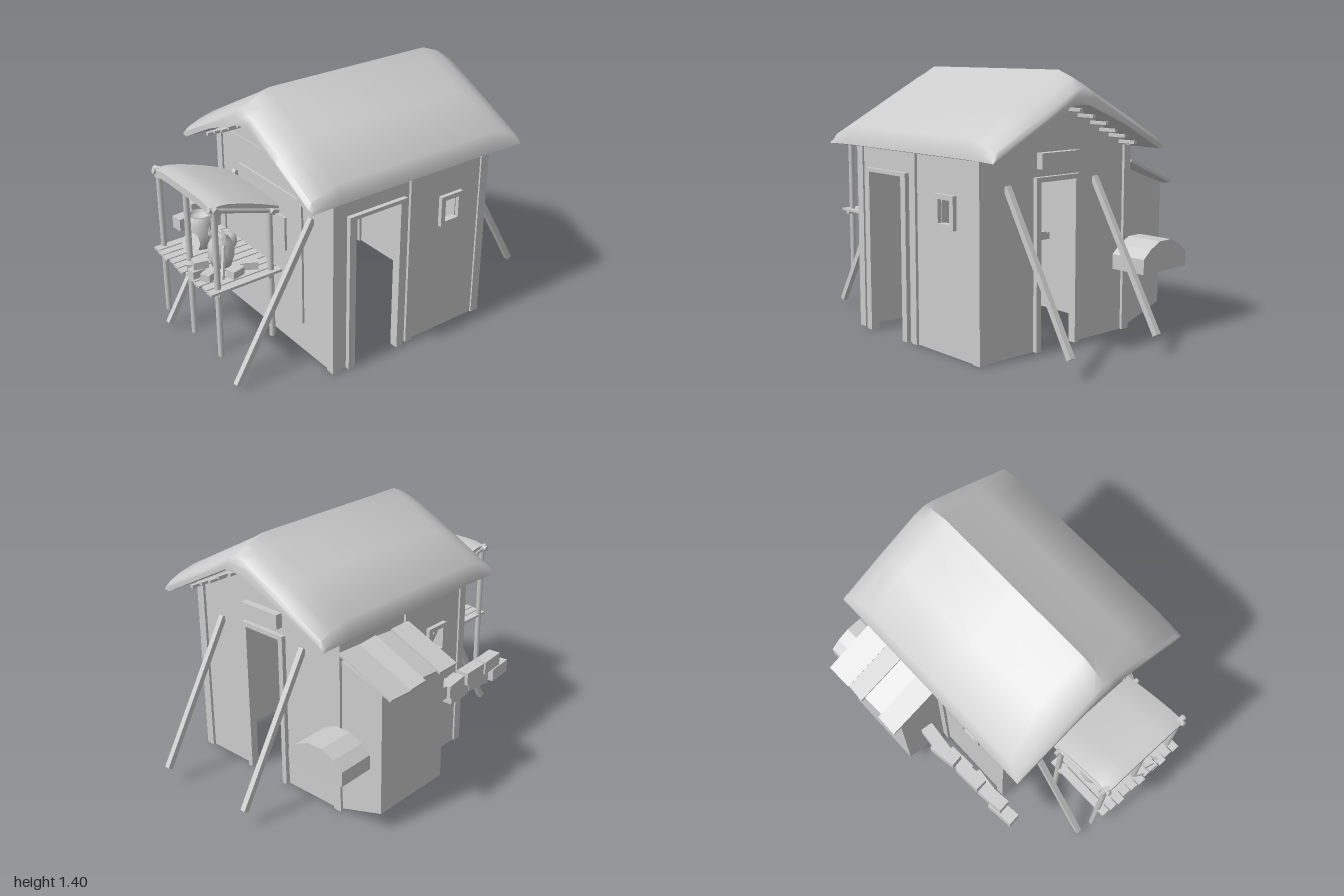
import * as THREE from 'three';
import { toCreasedNormals } from 'three/addons/utils/BufferGeometryUtils.js';

const CX = 0.135; // ridge line

export function createModel() {
  const root = new THREE.Group();
  const mat = new THREE.MeshStandardMaterial({ color: 0xcccccc, side: THREE.DoubleSide });
  const V = (x, y, z) => new THREE.Vector3(x, y, z);
  const add = (name, geo, parent = root) => {
    const m = new THREE.Mesh(geo, mat);
    m.name = name;
    parent.add(m);
    return m;
  };
  const group = (name) => {
    const g = new THREE.Group();
    g.name = name;
    root.add(g);
    return g;
  };
  // box given by its extents
  const box = (name, x0, x1, y0, y1, z0, z1, parent) => {
    const m = add(name, new THREE.BoxGeometry(x1 - x0, y1 - y0, z1 - z0), parent);
    m.position.set((x0 + x1) / 2, (y0 + y1) / 2, (z0 + z1) / 2);
    return m;
  };
  // square timber or round pole between two points
  const beam = (name, a, b, w, round, parent) => {
    const len = a.distanceTo(b);
    const m = add(name, round ? new THREE.CylinderGeometry(w, w, len, 8) : new THREE.BoxGeometry(w, len, w), parent);
    m.position.copy(a).add(b).multiplyScalar(0.5);
    m.quaternion.setFromUnitVectors(V(0, 1, 0), b.clone().sub(a).normalize());
    return m;
  };
  const lathe = (name, pts, x, y, z, parent) => {
    const geo = new THREE.LatheGeometry(pts.map((p) => new THREE.Vector2(...p)), 14);
    const m = add(name, geo, parent);
    m.position.set(x, y, z);
    return m;
  };
  const extrude = (pts, depth, holes = []) => {
    const poly = (a) => a.map((p) => new THREE.Vector2(...p));
    const s = new THREE.Shape(poly(pts));
    for (const [a0, a1, b0, b1] of holes) s.holes.push(new THREE.Path(poly([[a0, b0], [a0, b1], [a1, b1], [a1, b0]])));
    return new THREE.ExtrudeGeometry(s, { depth, bevelEnabled: false });
  };

  // Walls, open at the bottom
  const walls = group('walls');
  const gableTop = [[0.66, 1.0], [0.22, 1.235], [0.05, 1.235], [-0.39, 1.0]];
  add('frontWall', extrude([[-0.39, 0], [0.66, 0], ...gableTop], 0.02), walls).position.z = 0.42;
  add('backWall', extrude([[-0.39, 0], [0.03, 0], [0.03, 0.86], [0.27, 0.86], [0.27, 0], [0.66, 0], ...gableTop], 0.02), walls).position.z = -0.55;
  const sideWall = (name, pts, holes, x) =>
    add(name, extrude(pts, 0.02, holes).rotateY(-Math.PI / 2), walls).position.x = x;
  sideWall('rightDoorWall', [[-0.55, 0], [0.04, 0], [0.04, 0.86], [0.32, 0.86], [0.32, 0], [0.44, 0], [0.44, 1], [-0.55, 1]],
    [[-0.35, -0.27, 0.66, 0.78]], 0.65);
  sideWall('leftWindowWall', [[-0.55, 0], [0.44, 0], [0.44, 1], [-0.55, 1]], [[0.145, 0.245, 0.66, 0.78]], -0.36);

  // Corner, door and middle posts
  const posts = group('wallPosts');
  for (const x of [-0.39, 0.61])
    for (const z of [-0.565, 0.4]) box('cornerPost', x, x + 0.05, 0, 1.0, z, z + 0.05, posts);
  box('middlePost', 0.63, 0.665, 0, 1, -0.07, -0.03, posts);
  box('middlePost', -0.395, -0.36, 0, 1, -0.07, -0.03, posts);
  for (const z of [0, 0.32]) box('doorJamb', 0.625, 0.675, 0, 0.88, z, z + 0.04, posts);
  box('doorLintel', 0.625, 0.675, 0.86, 0.88, 0.04, 0.32, posts);
  for (const x of [0.0, 0.27]) box('backDoorJamb', x, x + 0.03, 0, 0.88, -0.575, -0.53, posts);
  box('backDoorLintel', 0.03, 0.27, 0.855, 0.88, -0.575, -0.53, posts);
  box('backDoorBoard', 0.02, 0.28, 0.92, 1.0, -0.59, -0.55, posts);
  box('gableBeam', -0.34, 0.61, 1.0, 1.035, 0.43, 0.446, posts);

  // Window frames on both sides
  for (const [x, z] of [[0.655, -0.31], [-0.385, 0.195]]) {
    const f = add('windowFrame', extrude([[-0.073, -0.085], [0.073, -0.085], [0.073, 0.085], [-0.073, 0.085]], 0.035,
      [[-0.045, 0.045, -0.06, 0.06]]).rotateY(-Math.PI / 2));
    f.position.set(x + 0.0175, 0.72, z);
  }

  // Thick thatched roof: one cross-section, thinned towards both gable ends
  const half = [[0.085, 1.235], [0.3, 1.122], [0.55, 0.99], [0.585, 0.998], [0.58, 1.03], [0.555, 1.093], [0.3, 1.232], [0.065, 1.36]];
  const section = [...half, [0, 1.4], ...half.slice().reverse().map(([x, y]) => [-x, y])];
  const underside = (x) => Math.min(1.235, Math.max(0.99, 1.28 - 0.527 * Math.abs(x)));
  const rings = [[0.62, 0.28], [0.6, 0.5], [0.53, 0.78], [0.45, 1], [-0.05, 1], [-0.55, 1], [-0.65, 0.78], [-0.72, 0.5], [-0.735, 0.28]];
  const pos = [], idx = [], n = section.length;
  for (const [z, k] of rings)
    for (const [x, y] of section) pos.push(CX + x, underside(x) + k * (y - underside(x)), z);
  for (let r = 0; r < rings.length - 1; r++)
    for (let i = 0; i < n; i++) {
      const a = r * n + i, b = r * n + ((i + 1) % n);
      idx.push(a, a + n, b, b, a + n, b + n);
    }
  const cap = THREE.ShapeUtils.triangulateShape(section.map(([x, y]) => new THREE.Vector2(x, y)), []);
  const last = (rings.length - 1) * n;
  for (const [a, b, c] of cap) idx.push(a, b, c, last + a, last + c, last + b);
  const roofGeo = new THREE.BufferGeometry();
  roofGeo.setAttribute('position', new THREE.Float32BufferAttribute(pos, 3));
  roofGeo.setIndex(idx);
  add('thatchedRoof', toCreasedNormals(roofGeo, 0.75));

  // Purlins poking out under both gables
  const purlins = group('purlins');
  for (const [dx, y] of [[0.05, 1.205], [0.143, 1.17], [0.235, 1.13], [0.303, 1.09], [0.375, 1.058], [0.452, 1.02]])
    for (const s of [-1, 1]) box('purlin', CX + s * dx - 0.01, CX + s * dx + 0.01, y - 0.008, y + 0.008, -0.66, 0.55, purlins);

  // Slanting braces in front and behind
  for (const x of [-0.213, 0.475]) beam('frontBrace', V(x, 0.82, 0.44), V(x, 0.03, 0.905), 0.03);
  for (const x of [-0.125, 0.475]) beam('backBrace', V(x, 0.85, -0.55), V(x, 0.1, -0.99), 0.03);

  // Lean-to on the left with ragged boards on top
  const annex = group('leanTo');
  add('leanToBody', extrude([[-0.65, 0.1], [-0.38, 0.01], [-0.38, 0.87], [-0.65, 0.775]], 0.48), annex).position.z = -0.55;
  [[-0.72, -0.495, 0.15, 0.03], [-0.715, -0.37, 0.13, -0.06], [-0.69, -0.25, 0.14, 0.05], [-0.71, -0.115, 0.13, -0.02]].forEach(([x, z, w, turn]) => {
    const len = -0.385 - x;
    const b = add('roofBoard', new THREE.BoxGeometry(len * 1.07, 0.016, w), annex);
    b.position.set(x + len / 2, 0.838, z);
    b.rotation.set(turn * 2, turn, 0.4);
  });

  // Arched chest hung on the back wall
  const arch = [[-0.175, 0.35], [0.175, 0.35], [0.175, 0.43], [0.12, 0.475], [0.045, 0.51], [-0.045, 0.51], [-0.12, 0.475], [-0.175, 0.43]];
  const chest = add('archedChest', extrude(arch, 0.21));
  chest.position.set(-0.425, 0, -0.785);
  chest.rotation.y = 0.03;

  // Stacked blocks along the left wall
  const blocks = group('stackedBlocks');
  [[-0.53, 0.51, 0.05, -0.1], [-0.54, 0.51, 0.15, 0.15], [-0.525, 0.51, 0.34, 0.05], [-0.515, 0.51, 0.51, 0.1],
    [-0.51, 0.437, 0.22, 0.05], [-0.5, 0.437, 0.41, -0.1], [-0.515, 0.437, 0.59, 0.1]].forEach(([x, y, z, turn]) => {
    const b = add('block', new THREE.BoxGeometry(0.07, 0.073, 0.16), blocks);
    b.position.set(x, y, z);
    b.rotation.y = turn;
  });

  // Inner bench with a leaning stick
  const bench = group('bench');
  for (let i = 0; i < 3; i++) box('benchSlat', -0.27 + i * 0.048, -0.23 + i * 0.048, 0.45, 0.475, -0.05, 0.42, bench);
  for (const z of [0.02, 0.34]) box('benchBearer', -0.36, -0.14, 0.41, 0.45, z, z + 0.03, bench);
  box('benchApron', -0.15, -0.13, 0.4, 0.45, -0.05, 0.42, bench);
  beam('leaningStick', V(-0.3, 0.74, 0.33), V(-0.22, 0.47, 0.27), 0.02, false, bench);

  // Front stall: wall panel, poles, slatted counter and cloth awning
  const stall = group('stall');
  box('wallPanel', -0.175, 0.4, 0.17, 0.88, 0.43, 0.452, stall);
  box('backBoard', -0.13, 0.27, 0.55, 0.74, 0.45, 0.465, stall);
  for (const x of [-0.145, 0.125, 0.385]) {
    beam('frontPole', V(x, 0.17, 0.935), V(x, 1.0, 0.935), 0.016, true, stall);
    if (x !== 0.125) beam('backPole', V(x, 0.17, 0.63), V(x, 0.89, 0.63), 0.016, true, stall);
    if (x !== 0.125) beam('sidePole', V(x, 0.99, 0.965), V(x, 0.872, 0.58), 0.014, true, stall);
  }
  beam('frontRail', V(-0.18, 0.985, 0.935), V(0.415, 0.985, 0.935), 0.016, true, stall);
  beam('backRail', V(-0.18, 0.885, 0.62), V(0.415, 0.885, 0.62), 0.014, true, stall);
  for (let i = 0; i < 11; i++) box('counterSlat', -0.157 + i * 0.053, -0.111 + i * 0.053, 0.545, 0.558, 0.585, 0.985 + (i % 3) * 0.006, stall);
  for (const z of [0.64, 0.92]) box('counterBearer', -0.16, 0.42, 0.53, 0.546, z, z + 0.025, stall);
  const cloth = new THREE.BoxGeometry(0.54, 0.04, 0.38, 8, 2, 8);
  const cp = cloth.attributes.position;
  for (let i = 0; i < cp.count; i++) {
    const u = cp.getX(i) / 0.27, v = cp.getZ(i) / 0.19;
    const drop = 0.02 * Math.abs(u) ** 6 + 0.025 * Math.max(0, v) ** 5;
    cp.setY(i, cp.getY(i) + 0.06 * v + 0.012 * (1 - v * v) - drop);
  }
  const awning = add('awning', toCreasedNormals(cloth, 0.7), stall);
  awning.position.set(0.12, 0.955, 0.765);

  // Wares on the counter
  const wares = group('wares');
  const barrel = [[0, 0], [0.058, 0], [0.072, 0.05], [0.075, 0.09], [0.07, 0.135], [0.06, 0.178], [0.05, 0.178], [0.048, 0.15], [0, 0.15]];
  lathe('barrel', barrel, -0.03, 0.56, 0.78, wares);
  lathe('jug', [[0, 0], [0.05, 0], [0.066, 0.05], [0.066, 0.11], [0.045, 0.15], [0.035, 0.165], [0.035, 0.175], [0, 0.175]], 0.2, 0.56, 0.8, wares);
  lathe('pot', [[0, 0], [0.025, 0], [0.045, 0.035], [0.042, 0.07], [0.025, 0.09], [0, 0.09]], 0.09, 0.56, 0.69, wares);
  const plate = add('plate', new THREE.CylinderGeometry(0.056, 0.05, 0.014, 10), wares);
  plate.position.set(0.035, 0.625, 0.87);
  plate.rotation.set(1.15, 0, -0.35);
  const handle = add('jugHandle', new THREE.TorusGeometry(0.045, 0.008, 6, 12, Math.PI), wares);
  handle.position.set(0.215, 0.72, 0.82);
  handle.rotation.y = 0.4;
  const sprig = add('sprig', new THREE.ConeGeometry(0.012, 0.05, 5), wares);
  sprig.position.set(0.17, 0.755, 0.84);
  beam('rod', V(0.265, 0.7, 0.82), V(0.34, 0.565, 0.88), 0.014, false, wares);
  [[0.16, 0.578, 0.93], [0.22, 0.578, 0.95], [0.28, 0.578, 0.92], [0.215, 0.618, 0.93], [0.33, 0.578, 0.8], [0.31, 0.578, 0.7]].forEach(([x, y, z], i) => {
    const b = add('smallBlock', new THREE.BoxGeometry(0.052, 0.04, 0.075), wares);
    b.position.set(x, y, z);
    b.rotation.y = ((i * 7) % 5) * 0.25 - 0.5;
  });
  return root;
}
